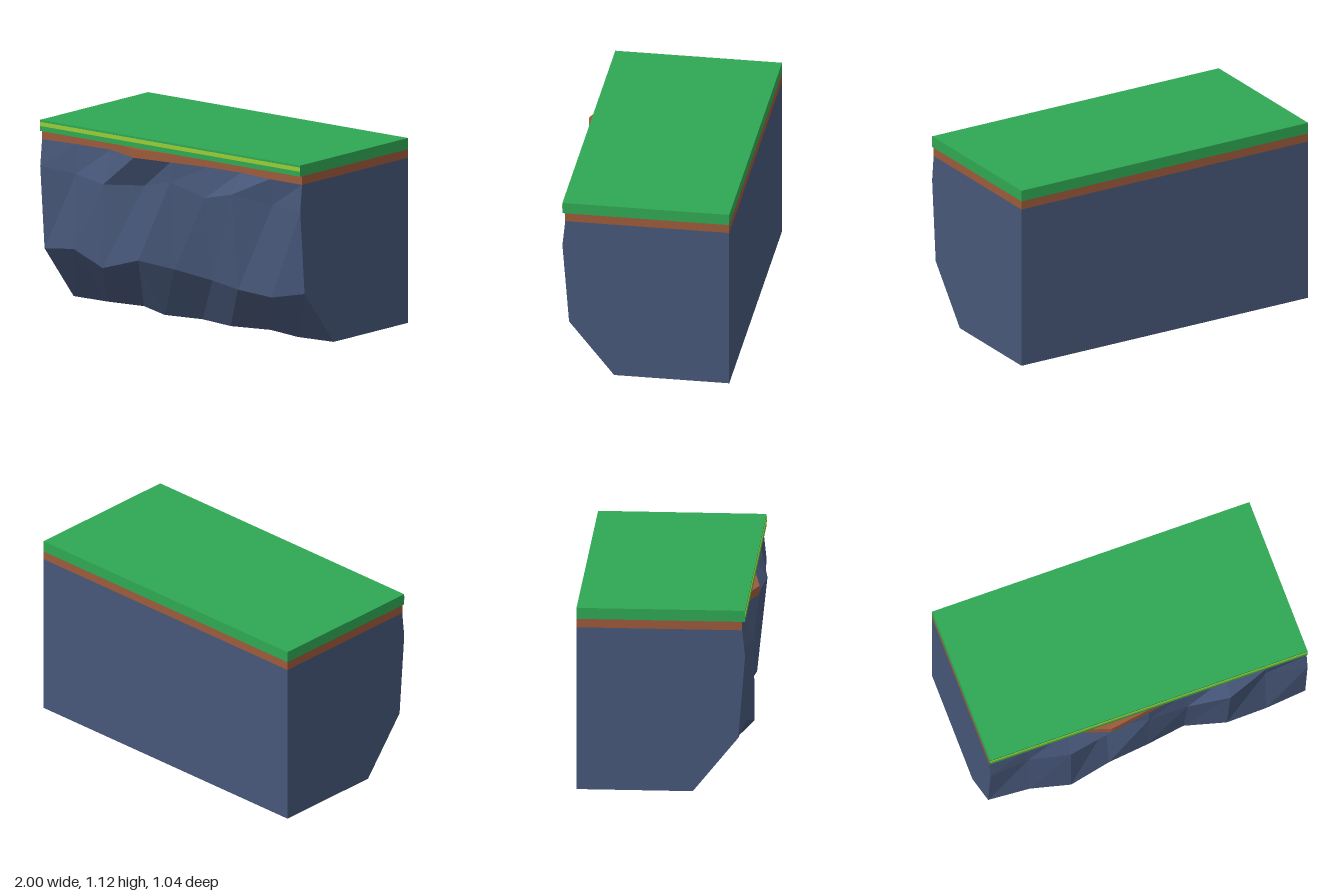
import * as THREE from 'three';

const BACK = -0.52, FRONT = 0.48;

// Front outline of the cliff at nine stations from x = -1 to x = 1
const footZ = [0.17, 0.16, 0.12, 0.23, 0.18, 0.22, 0.15, 0.20, 0.17];
const lowY = [0.335, 0.37, 0.295, 0.37, 0.345, 0.305, 0.295, 0.28, 0.335];
const lowZ = [0.44, 0.47, 0.505, 0.475, 0.44, 0.39, 0.455, 0.445, 0.44];
const midY = [0.84, 0.82, 0.80, 0.815, 0.88, 0.815, 0.88, 0.84, 0.84];
const midZ = [0.48, 0.45, 0.50, 0.415, 0.48, 0.46, 0.517, 0.43, 0.48];
const topZ = [0.463, 0.44, 0.43, 0.518, 0.48, 0.44, 0.43, 0.46, 0.463];

// Faceted solid joining closed [y, z] cross-sections along x
function loft(section) {
  const rings = topZ.map((_, i) => section(i).map(([y, z]) => [-1 + i * 0.25, y, z]));
  const n = rings[0].length, last = rings.length - 1, pos = [];
  const tri = (a, b, c) => pos.push(...a, ...b, ...c);
  for (let i = 0; i < last; i++) {
    for (let r = 0; r < n; r++) {
      const s = (r + 1) % n;
      tri(rings[i][r], rings[i + 1][r], rings[i + 1][s]);
      tri(rings[i][r], rings[i + 1][s], rings[i][s]);
    }
  }
  // End caps, fanned from the lower back corner
  for (let k = 1; k < n - 1; k++) {
    tri(rings[0][0], rings[0][k], rings[0][k + 1]);
    tri(rings[last][0], rings[last][k + 1], rings[last][k]);
  }
  const geo = new THREE.BufferGeometry();
  geo.setAttribute('position', new THREE.Float32BufferAttribute(pos, 3));
  geo.computeVertexNormals();
  return geo;
}

function material(name, color) {
  const m = new THREE.MeshStandardMaterial({ color });
  m.name = name;
  return m;
}

export function createModel() {
  const group = new THREE.Group();
  group.name = 'grassyCliff';
  const add = (name, geo, mat) => {
    const mesh = new THREE.Mesh(geo, mat);
    mesh.name = name;
    group.add(mesh);
    return mesh;
  };
  const rock = material('slate blue rock', 0x475779);
  const soil = material('brown soil', 0x9c5a3a);
  const grass = material('green grass', 0x2fa853);
  const light = material('light green edge', 0x9acb34);

  // Rugged rock face with flat back and ends
  add('rock', loft(i => [
    [0, BACK], [0, footZ[i]], [lowY[i], lowZ[i]], [midY[i], midZ[i]], [1, topZ[i]], [1, BACK],
  ]), rock);

  // Soil layer following the rock's top edge
  add('soilLayer', loft(i => [
    [1, BACK], [1, topZ[i]], [1.052, topZ[i]], [1.052, BACK],
  ]), soil);

  // Grass slab
  add('grassSlab', new THREE.BoxGeometry(2, 0.068, FRONT - BACK), grass)
    .position.set(0, 1.086, (FRONT + BACK) / 2);

  // Light stripe along the front edge of the grass
  add('grassStripe', new THREE.BoxGeometry(2, 0.024, 0.003), light)
    .position.set(0, 1.095, FRONT + 0.0015);

  return group;
}
